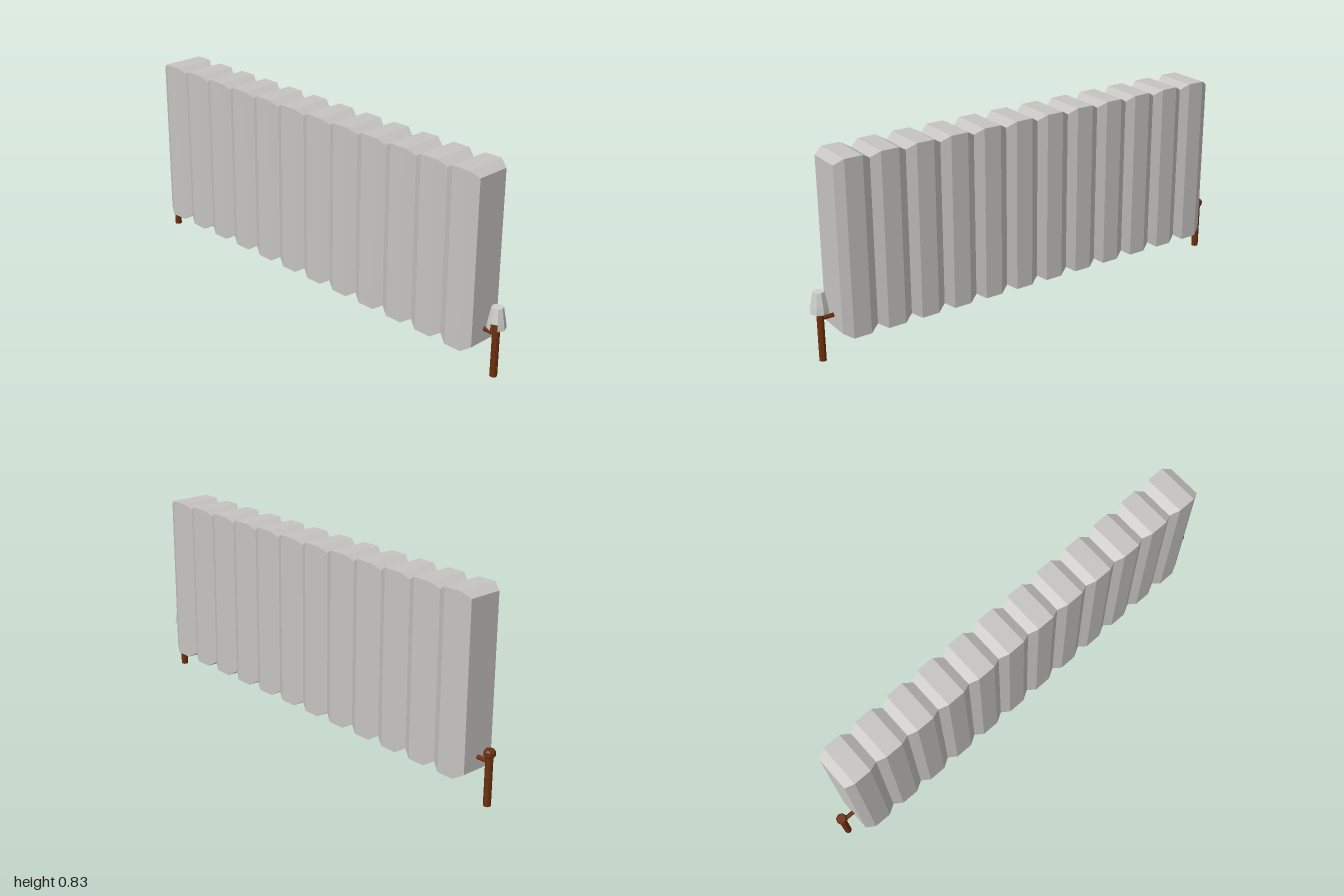
import * as THREE from 'three';

const flat = (name, color) => {
  const m = new THREE.MeshStandardMaterial({ color, flatShading: true });
  m.name = name;
  return m;
};

// Ribbed body: rectangular rings along x, alternating valley and crown
function bodyGeometry(x0, x1, count, chamfer) {
  const valley = { lo: 0.128, hi: 0.812, z: 0.073 };
  const crown = { lo: 0.104, hi: 0.835, z: 0.092 };
  const ring = (x, s) => [[x, s.lo, s.z], [x, s.lo, -s.z], [x, s.hi, -s.z], [x, s.hi, s.z]];
  const w = (x1 - x0) / count;
  const rings = [ring(x0, valley)];
  for (let i = 0; i < count; i++) {
    const x = x0 + i * w;
    rings.push(ring(x + chamfer, crown), ring(x + w - chamfer, crown), ring(x + w, valley));
  }
  const pos = [];
  const quad = (a, b, c, d) => [a, b, c, a, c, d].forEach((p) => pos.push(...p));
  for (let r = 0; r < rings.length - 1; r++) {
    const A = rings[r], B = rings[r + 1];
    for (let k = 0; k < 4; k++) {
      const n = (k + 1) % 4;
      quad(A[k], A[n], B[n], B[k]);
    }
  }
  const L = rings[0], R = rings[rings.length - 1];
  quad(L[0], L[3], L[2], L[1]);
  quad(R[0], R[1], R[2], R[3]);
  const g = new THREE.BufferGeometry();
  g.setAttribute('position', new THREE.Float32BufferAttribute(pos, 3));
  g.computeVertexNormals();
  return g;
}

export function createModel() {
  const enamel = flat('warm grey enamel', 0xc6c4c1);
  const plastic = flat('light grey plastic', 0xcdcdcc);
  const copper = flat('brown copper', 0x6b300e);

  const model = new THREE.Group();
  model.name = 'radiator';
  const add = (parent, name, geo, mat, x = 0, y = 0, z = 0) => {
    const m = new THREE.Mesh(geo, mat);
    m.name = name;
    m.position.set(x, y, z);
    parent.add(m);
    return m;
  };

  add(model, 'ribbedBody', bodyGeometry(-0.921, 0.905, 12, 0.038), enamel);

  // Floor pipe with a short elbow into the body
  const pipe = (name, x, bodyX) => {
    const g = new THREE.Group();
    g.name = name;
    model.add(g);
    add(g, 'floorPipe', new THREE.CylinderGeometry(0.015, 0.015, 0.205, 8), copper, x, 0.1025);
    const elbow = new THREE.CylinderGeometry(0.009, 0.009, Math.abs(x - bodyX), 8).rotateZ(Math.PI / 2);
    add(g, 'inletPipe', elbow, copper, (x + bodyX) / 2, 0.18);
    return g;
  };
  const rightPipe = pipe('lockshieldValve', -0.977, -0.915);
  const leftPipe = pipe('thermostatValve', 0.961, 0.9);

  // Plain valve cap
  const cap = [[0, 0.2], [0.018, 0.2], [0.023, 0.205], [0.023, 0.222], [0.018, 0.23], [0, 0.23]];
  add(rightPipe, 'valveCap', new THREE.LatheGeometry(cap.map(([r, y]) => new THREE.Vector2(r, y)), 8),
    copper, -0.977);

  // Thermostat knob: collar, lower band with one brown facet, tapered top
  const lathe = (pts, segs = 8, start = 0, len = Math.PI * 2) =>
    new THREE.LatheGeometry(pts.map(([r, y]) => new THREE.Vector2(r, y)), segs, start, len);
  const band = [[0.0375, 0.208], [0.0375, 0.212], [0.0348, 0.235]];
  add(leftPipe, 'knobCollar', lathe([[0, 0.202], [0.026, 0.202], [0.0375, 0.208]]), plastic, 0.961);
  add(leftPipe, 'knobBand', lathe(band, 7, Math.PI / 4, Math.PI * 1.75), plastic, 0.961);
  add(leftPipe, 'knobMarker', lathe(band, 1, 0, Math.PI / 4), copper, 0.961);
  add(leftPipe, 'knobTop', lathe([[0.0348, 0.235], [0.0235, 0.295], [0, 0.295]]), plastic, 0.961);

  return model;
}
